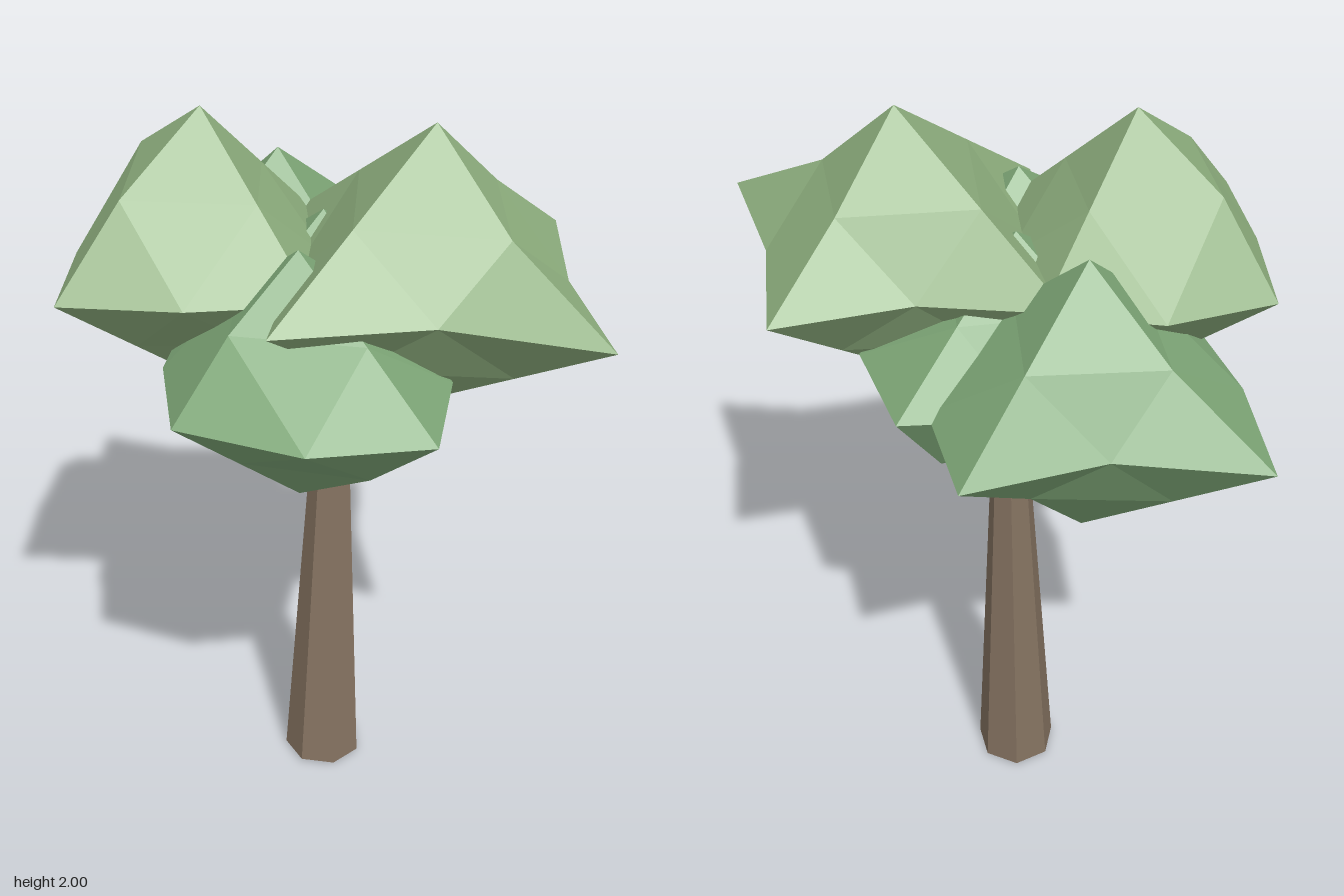
import * as THREE from 'three';

// Corner letters: L/R = +x/-x, U/D = +y/-y, F/B = +z/-z
const AXES = {
  L: [1, 0, 0], R: [-1, 0, 0], U: [0, 1, 0],
  D: [0, -1, 0], F: [0, 0, 1], B: [0, 0, -1],
};

// Octahedron split once: six reaches, with each edge midpoint pushed in or out
function clumpGeometry(reach, bulge) {
  const corner = (k) => new THREE.Vector3(...AXES[k]).multiplyScalar(reach[k]);
  const middle = (a, b) => corner(a).add(corner(b)).multiplyScalar(0.5 * (bulge[a + b] ?? 1));
  const points = [];
  for (const x of 'LR') for (const y of 'UD') for (const z of 'FB') {
    const [a, b, c] = [corner(x), corner(y), corner(z)];
    const [ab, bc, ac] = [middle(x, y), middle(y, z), middle(x, z)];
    const mirrored = ((x === 'R') + (y === 'D') + (z === 'B')) % 2 === 1;
    for (const [p, q, r] of [[a, ab, ac], [ab, b, bc], [ac, bc, c], [ab, bc, ac]]) {
      points.push(...(mirrored ? [p, r, q] : [p, q, r]));
    }
  }
  const geometry = new THREE.BufferGeometry().setFromPoints(points);
  geometry.computeVertexNormals();
  return geometry;
}

export function createModel() {
  const tree = new THREE.Group();
  tree.name = 'tree';
  const material = (color) => new THREE.MeshStandardMaterial({ color, flatShading: true });
  const upperLeaf = material(0x8fb07f);
  const lowerLeaf = material(0x7fa878);
  const bark = material(0x857361);

  // Leaning seven-sided trunk
  const base = new THREE.Vector3(0.06, 0.007, -0.025);
  const top = new THREE.Vector3(0.103, 1.115, -0.042);
  const lean = top.clone().sub(base);
  const trunk = new THREE.Mesh(
    new THREE.CylinderGeometry(0.049, 0.11, lean.length(), 7, 1, false, Math.PI / 7), bark);
  trunk.name = 'trunk';
  trunk.position.copy(base).add(top).multiplyScalar(0.5);
  trunk.quaternion.setFromUnitVectors(new THREE.Vector3(0, 1, 0), lean.normalize());
  tree.add(trunk);

  // Foliage clumps
  const clumps = [
    {
      name: 'upperFrontFoliage', leaf: upperLeaf, at: [0.15, 1.63, 0.25],
      reach: { L: 0.46, R: 0.52, U: 0.37, D: 0.35, F: 0.56, B: 0.5 },
      bulge: { LU: 0.95, LF: 0.9, LB: 0.8, RF: 0.78, RB: 0.9, UF: 0.87 },
    },
    {
      name: 'upperBackFoliage', leaf: upperLeaf, at: [-0.175, 1.63, -0.2],
      reach: { L: 0.37, R: 0.445, U: 0.37, D: 0.36, F: 0.4, B: 0.405 },
      bulge: { LF: 1.1, LB: 1.25, RF: 1.1, RB: 1.05, RU: 1.1, UB: 1.18 },
    },
    {
      name: 'lowerFrontFoliage', leaf: lowerLeaf, at: [-0.175, 1.43, 0.14],
      reach: { L: 0.4, R: 0.385, U: 0.32, D: 0.34, F: 0.46, B: 0.42 },
      bulge: { LF: 1.2, RU: 1.1, RF: 1.27, RB: 1.15, DF: 1.08 },
    },
    {
      name: 'lowerBackFoliage', leaf: lowerLeaf, at: [0.15, 1.43, -0.3],
      reach: { L: 0.47, R: 0.44, U: 0.36, D: 0.39, F: 0.42, B: 0.51 },
      bulge: { LD: 0.9, LF: 1.18, LB: 0.77, RB: 1.1, UB: 0.9 },
    },
    {
      name: 'centreFoliage', leaf: lowerLeaf, at: [0.06, 1.43, -0.03],
      reach: { L: 0.45, R: 0.42, U: 0.3, D: 0.3, F: 0.42, B: 0.42 },
      bulge: { LF: 1.25, LB: 1.1, LD: 1.33, RD: 1.33, DF: 1.33, DB: 1.33 },
    },
  ];
  for (const { name, leaf, at, reach, bulge } of clumps) {
    const clump = new THREE.Mesh(clumpGeometry(reach, bulge), leaf);
    clump.name = name;
    clump.position.set(...at);
    tree.add(clump);
  }
  return tree;
}
